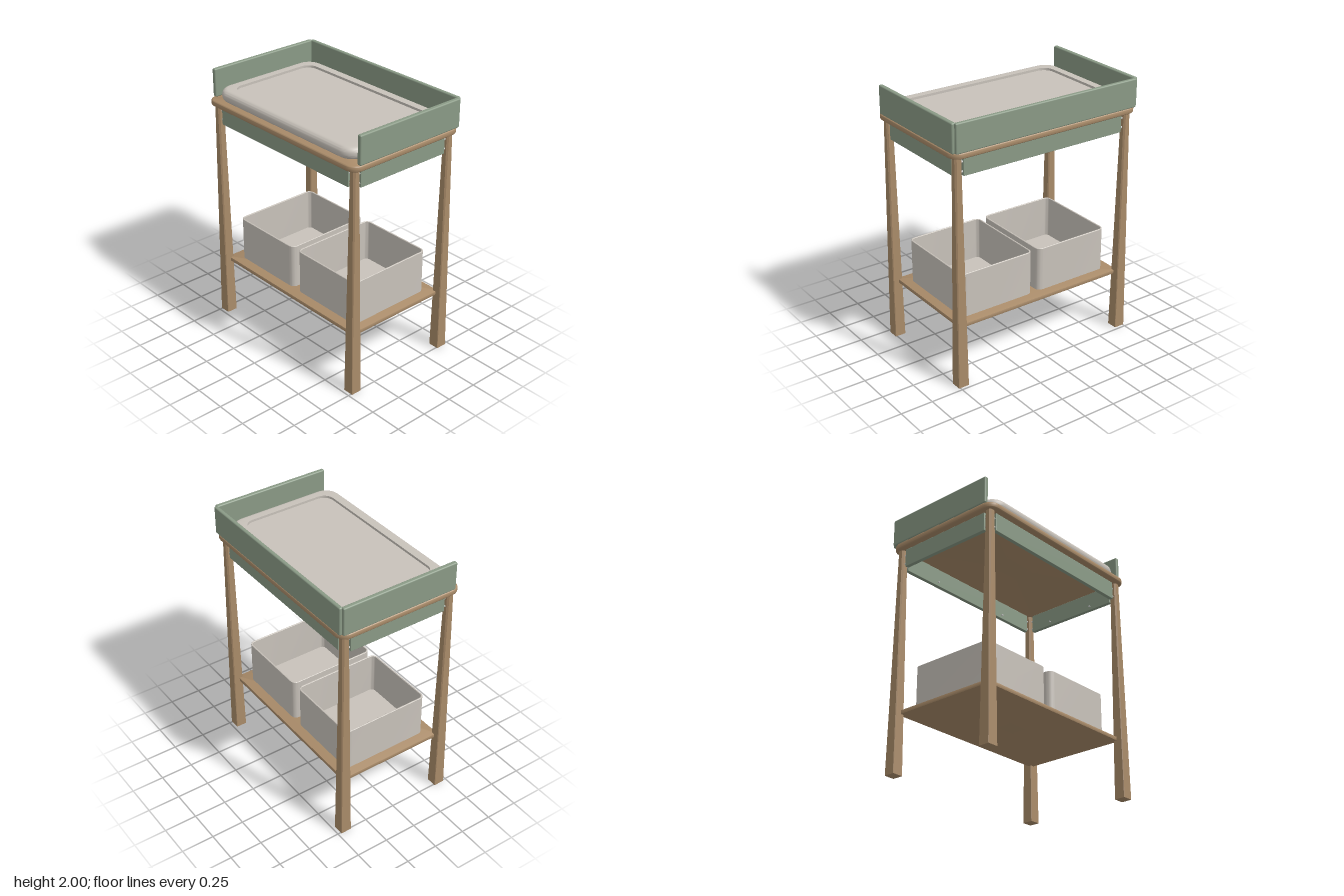
import * as THREE from 'three';
import { toCreasedNormals } from 'three/addons/utils/BufferGeometryUtils.js';
import { RoundedBoxGeometry } from 'three/addons/geometries/RoundedBoxGeometry.js';

const wood = new THREE.MeshStandardMaterial({ color: 0xa98b69 });
const green = new THREE.MeshStandardMaterial({ color: 0x8a9a86 });
const fabric = new THREE.MeshStandardMaterial({ color: 0xc8c2ba });
const metal = new THREE.MeshStandardMaterial({ color: 0xcccccc });

// Stack of rounded rectangles, each ring [halfWidth, halfDepth, cornerRadius, y], closed at both ends
function loft(rings, seg = 8, crease = 0.6) {
  const pos = [], index = [];
  const n = 4 * (seg + 1);
  for (const [hw, hd, r, y] of rings) {
    for (let q = 0; q < 4; q++) {
      const sx = q === 0 || q === 3 ? 1 : -1, sz = q < 2 ? 1 : -1;
      for (let i = 0; i <= seg; i++) {
        const a = (q + i / seg) * Math.PI / 2;
        pos.push(sx * (hw - r) + r * Math.cos(a), y, sz * (hd - r) + r * Math.sin(a));
      }
    }
  }
  for (let k = 0; k < rings.length - 1; k++) {
    for (let j = 0; j < n; j++) {
      const a = k * n + j, b = k * n + (j + 1) % n;
      index.push(a, a + n, b, a + n, b + n, b);
    }
  }
  const last = (rings.length - 1) * n, c = rings.length * n;
  pos.push(0, rings[0][3], 0, 0, rings[rings.length - 1][3], 0);
  for (let j = 0; j < n; j++) {
    const j2 = (j + 1) % n;
    index.push(c, j, j2, c + 1, last + j2, last + j);
  }
  const g = new THREE.BufferGeometry();
  g.setAttribute('position', new THREE.Float32BufferAttribute(pos, 3));
  g.setIndex(index);
  return toCreasedNormals(g, crease);
}

// Rings of a slab whose top and bottom edges are rounded by e
function slabRings(hw, hd, r, y0, y1, e, steps = 5) {
  const rings = [];
  for (const top of [0, 1]) {
    for (let i = 0; i <= steps; i++) {
      const a = (i / steps) * Math.PI / 2;
      const inset = e * (1 - (top ? Math.cos(a) : Math.sin(a)));
      const y = top ? y1 - e + e * Math.sin(a) : y0 + e - e * Math.cos(a);
      rings.push([hw - inset, hd - inset, r - inset, y]);
    }
  }
  return rings;
}

export function createModel() {
  const model = new THREE.Group();
  const add = (name, geometry, material, x = 0, y = 0, z = 0) => {
    const mesh = new THREE.Mesh(geometry, material);
    mesh.name = name;
    mesh.position.set(x, y, z);
    model.add(mesh);
    return mesh;
  };
  const legX = 0.718, legZ = 0.433;

  // Tabletop and lower shelf
  add('tabletop', loft(slabRings(0.78, 0.497, 0.08, 1.742, 1.787, 0.014)), wood);
  add('shelf', loft(slabRings(0.71, 0.423, 0.02, 0.445, 0.474, 0.003, 2)), wood);

  // Tapered legs, with corners chamfered more towards the top
  const legGeometry = loft([[0.0425, 0.0425, 0.003, 0], [0.027, 0.027, 0.012, 1.745]], 1, 0.1);
  for (const sx of [-1, 1]) for (const sz of [-1, 1]) {
    add(sz > 0 ? 'frontLeg' : 'backLeg', legGeometry, wood, sx * legX, 0, sz * legZ);
  }

  // Apron boards between the legs
  const longApron = new RoundedBoxGeometry(1.344, 0.142, 0.03, 2, 0.003);
  const shortApron = new RoundedBoxGeometry(0.03, 0.142, 0.78, 2, 0.003);
  for (const s of [-1, 1]) {
    add(s > 0 ? 'frontApron' : 'backApron', longApron, green, 0, 1.671, s * legZ);
    add('sideApron', shortApron, green, s * legX, 1.671, 0);
  }

  // Dowels joining aprons to legs, and small screws inside the aprons
  const pinX = new THREE.CylinderGeometry(0.008, 0.008, 0.06, 12).rotateZ(Math.PI / 2);
  const pinZ = pinX.clone().rotateY(Math.PI / 2);
  const screwX = new THREE.CylinderGeometry(0.006, 0.006, 0.02, 10).rotateZ(Math.PI / 2);
  const screwZ = screwX.clone().rotateY(Math.PI / 2);
  for (const sx of [-1, 1]) for (const sz of [-1, 1]) {
    for (const y of [1.63, 1.7]) {
      add('dowel', pinX, metal, sx * 0.68, y, sz * legZ);
      add('dowel', pinZ, metal, sx * legX, y, sz * 0.397);
    }
    add('screw', screwZ, metal, sx * 0.36, 1.63, sz * (legZ - 0.017));
    add('screw', screwX, metal, sx * (legX - 0.017), 1.63, sz * 0.2);
  }

  // Guard rails on the back and both sides
  add('backGuard', new RoundedBoxGeometry(1.52, 0.214, 0.03, 4, 0.01), green, 0, 1.893, -0.485);
  const sideGuard = new RoundedBoxGeometry(0.034, 0.214, 0.92, 4, 0.01);
  for (const s of [-1, 1]) add('sideGuard', sideGuard, green, s * 0.763, 1.893, -0.02);

  // Changing mat with a sunken centre
  const mat = slabRings(0.718, 0.45, 0.12, 1.786, 1.875, 0.04, 8);
  mat.push([0.63, 0.362, 0.08, 1.875], [0.63, 0.362, 0.08, 1.857]);
  add('changingMat', loft(mat, 12), fabric, 0, 0, 0.015);

  // Two open storage bins
  const w = 0.307, d = 0.347, t = 0.012;
  const bin = loft([
    [w, d, 0.045, 0], [w, d, 0.045, 0.333], [w - 0.003, d - 0.003, 0.042, 0.336],
    [w - t + 0.003, d - t + 0.003, 0.036, 0.336], [w - t, d - t, 0.033, 0.333], [w - t, d - t, 0.033, 0.015],
  ]);
  for (const s of [-1, 1]) add('storageBin', bin, fabric, s * 0.331, 0.474, 0);

  return model;
}
